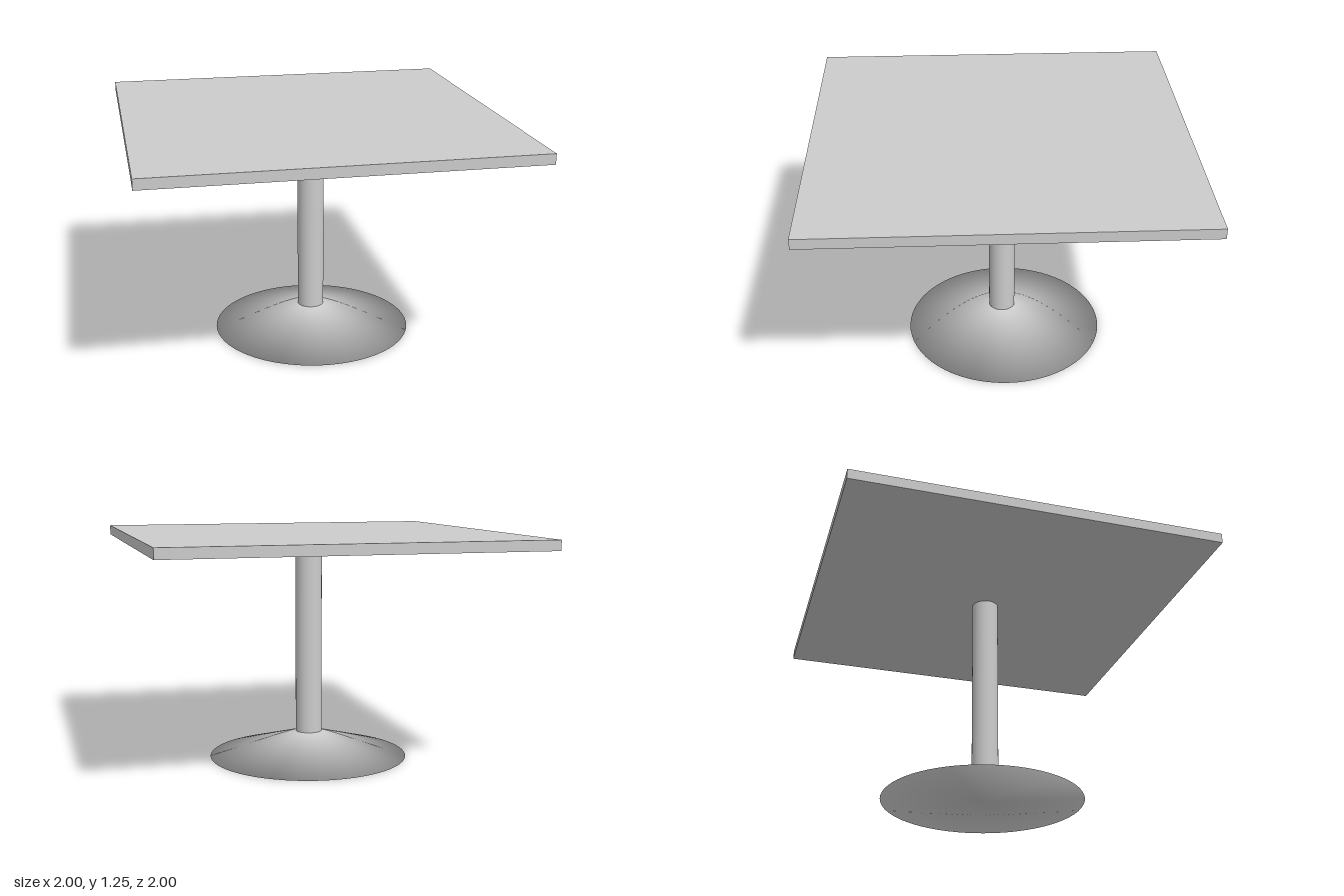
import * as THREE from 'three';

export function createModel() {
  const group = new THREE.Group();
  const grey = new THREE.MeshStandardMaterial({ color: 0xcccccc });
  grey.name = 'light grey';

  const add = (name, geometry, x, y, z) => {
    const mesh = new THREE.Mesh(geometry, grey);
    mesh.name = name;
    mesh.position.set(x, y, z);
    group.add(mesh);
  };

  // Square table top
  const topBottom = 1.2, topThickness = 0.055;
  add('tableTop', new THREE.BoxGeometry(2, topThickness, 2), 0, topBottom + topThickness / 2, 0);

  // Round column, slightly off centre under the top
  const radius = 0.073, baseHeight = 0.135;
  const columnX = 0.013, columnZ = -0.01;
  const columnHeight = topBottom - baseHeight;
  add('column', new THREE.CylinderGeometry(radius, radius, columnHeight, 48),
    columnX, baseHeight + columnHeight / 2, columnZ);

  // Shallow conical foot with a softly shaded rim and a flat underside
  const baseX = 0.021, baseZ = -0.022;
  const profile = [[0, 0], [0.551, 0], [radius, baseHeight]].map(([r, y]) => new THREE.Vector2(r, y));
  const foot = new THREE.LatheGeometry(profile, 64);

  // Lean the foot's upper ring over to meet the column
  const p = foot.attributes.position;
  for (let i = 0; i < p.count; i++) {
    const t = p.getY(i) / baseHeight;
    p.setX(i, p.getX(i) + t * (columnX - baseX));
    p.setZ(i, p.getZ(i) + t * (columnZ - baseZ));
  }
  add('foot', foot, baseX, 0, baseZ);

  return group;
}
